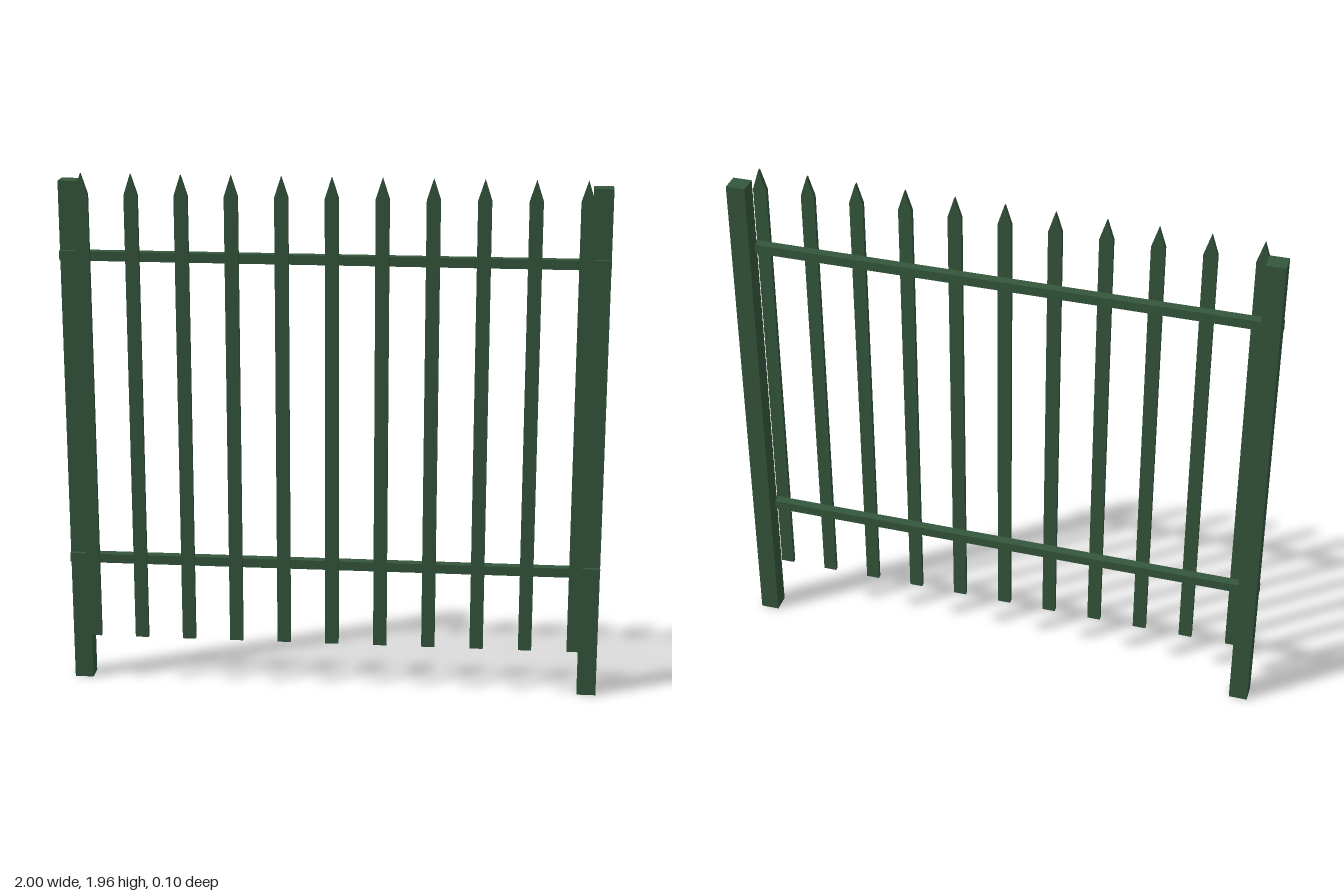
import * as THREE from 'three';

export function createModel() {
  const group = new THREE.Group();
  const green = new THREE.MeshStandardMaterial({ color: 0x34563c });
  green.name = 'dark green paint';

  const add = (name, geometry, x, y, z) => {
    const mesh = new THREE.Mesh(geometry, green);
    mesh.name = name;
    mesh.position.set(x, y, z);
    group.add(mesh);
  };

  // Square end posts
  const postGeometry = new THREE.BoxGeometry(0.07, 1.93, 0.07);
  add('leftPost', postGeometry, 0.965, 0.965, -0.017);
  add('rightPost', postGeometry, -0.965, 0.965, -0.017);

  // Horizontal rails, let into the front of the posts
  const railGeometry = new THREE.BoxGeometry(2, 0.035, 0.035);
  add('lowerRail', railGeometry, 0, 0.493, 0.0175);
  add('upperRail', railGeometry, 0, 1.658, 0.0175);

  // Pointed pickets fixed to the front of the rails
  const half = 0.025, shoulder = 1.7, height = 1.777;
  const outline = new THREE.Shape([
    new THREE.Vector2(-half, 0),
    new THREE.Vector2(half, 0),
    new THREE.Vector2(half, shoulder),
    new THREE.Vector2(0, height),
    new THREE.Vector2(-half, shoulder),
  ]);
  const picketGeometry = new THREE.ExtrudeGeometry(outline, { depth: 0.017, bevelEnabled: false });
  for (let i = -5; i <= 5; i++) {
    add(`picket${i + 6}`, picketGeometry, i * 0.182, 0.186, 0.035);
  }

  return group;
}
